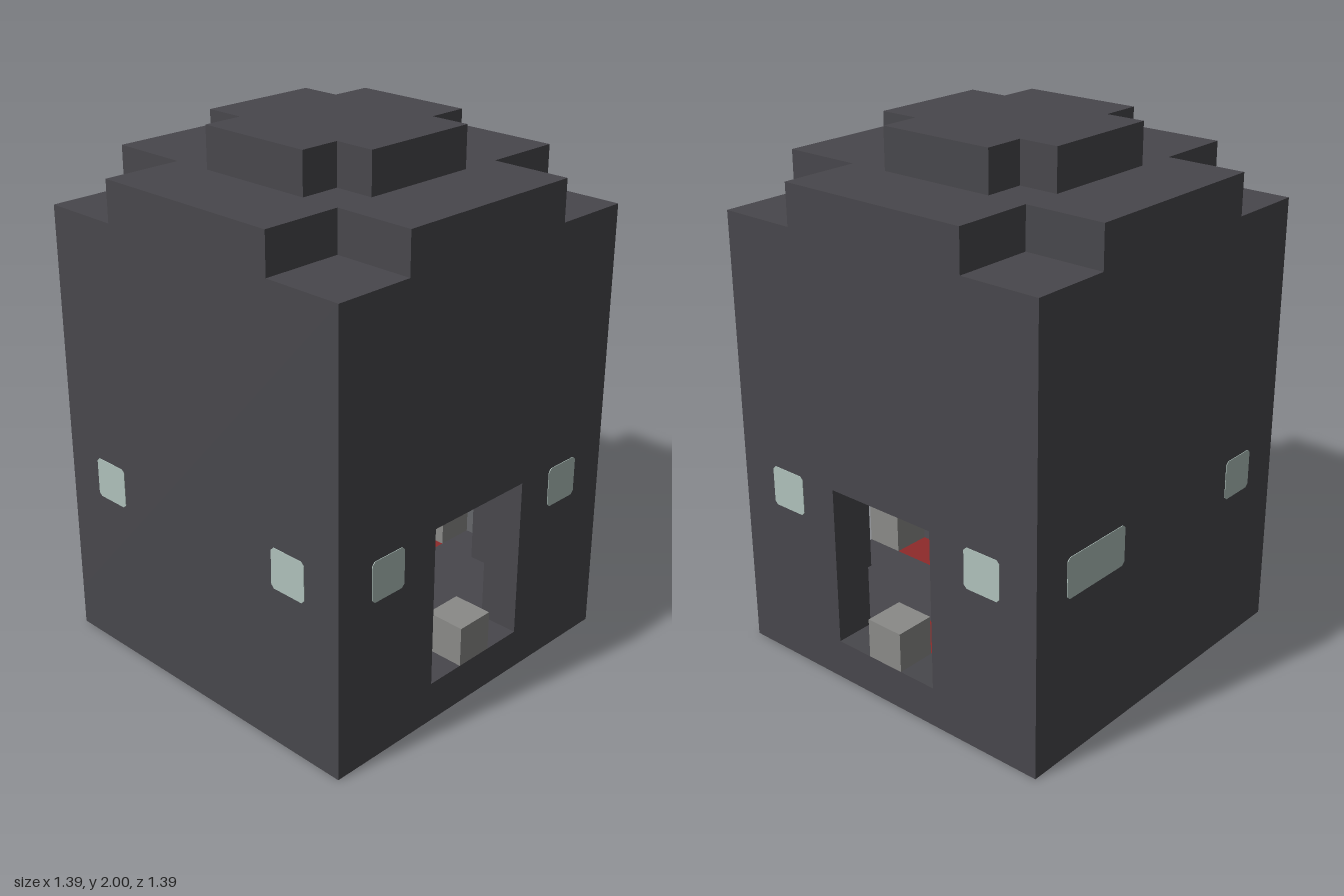
import * as THREE from 'three';

const U = 2 / 13; // one block

export function createModel() {
  const mat = (name, color) => {
    const m = new THREE.MeshStandardMaterial({ color });
    m.name = name;
    return m;
  };
  const stone = mat('dark stone', 0x48474c);
  const glass = mat('pale glass', 0xafc1bb);
  const grey = mat('grey stone', 0x8a8a88);
  const red = mat('red carpet', 0x8e2a2a);

  const model = new THREE.Group();
  model.name = 'tower';

  // All helper sizes are in blocks
  const add = (parent, name, geometry, material) => {
    const mesh = new THREE.Mesh(geometry.scale(U, U, U), material);
    mesh.name = name;
    parent.add(mesh);
    return mesh;
  };
  const box = (name, x, y, z, w, h, d, material) =>
    add(model, name, new THREE.BoxGeometry(w, h, d).translate(x, y + h / 2, z), material);
  const outline = (pts) => pts.map(([x, y]) => new THREE.Vector2(x, y));
  const rect = (x0, y0, x1, y1) => outline([[x0, y0], [x1, y0], [x1, y1], [x0, y1]]);
  const extrude = (pts, depth, hole) => {
    const shape = new THREE.Shape(pts);
    if (hole) shape.holes.push(new THREE.Path(hole));
    return new THREE.ExtrudeGeometry(shape, { depth, bevelEnabled: false });
  };
  const slab = (name, y, pts, material, hole) =>
    add(model, name, extrude(pts, 1, hole).rotateX(-Math.PI / 2).translate(0, y, 0), material);

  // Square with square notches in its corners
  const notched = (r, n) => {
    const i = r - n;
    return outline([[-i, -r], [i, -r], [i, -i], [r, -i], [r, i], [i, i],
      [i, r], [-i, r], [-i, i], [-r, i], [-r, -i], [-i, -i]]);
  };

  // Floor with an L-shaped carpet let into it
  const carpet = outline([[-0.5, -0.5], [3.5, -0.5], [3.5, 0.5], [0.5, 0.5], [0.5, 3.5], [-0.5, 3.5]]);
  slab('floor', 0, rect(-4.5, -4.5, 4.5, 4.5), stone, carpet);
  slab('carpet', 0, carpet, red);

  // Walls, with windows as [left, right] spans and optional doorway and step
  const pair = [[-3.5, -2.5], [2.5, 3.5]];
  const walls = [
    { name: 'front', turn: 0, half: 4.5, windows: pair },
    { name: 'left', turn: 1, half: 3.5, windows: pair, door: true },
    { name: 'back', turn: 2, half: 4.5, windows: pair, door: true },
    { name: 'right', turn: 3, half: 3.5, windows: [[-3.5, -1.5], [2.5, 3.5]] },
  ];
  for (const w of walls) {
    const side = new THREE.Group();
    side.name = w.name + 'Side';
    side.rotation.y = w.turn * Math.PI / 2;
    model.add(side);

    let pts = rect(-w.half, 1, w.half, 11);
    if (w.door) {
      pts = outline([[-w.half, 1], [-1.5, 1], [-1.5, 5], [1.5, 5], [1.5, 1], [w.half, 1], [w.half, 11], [-w.half, 11]]);
      add(side, 'doorStep', new THREE.BoxGeometry(1, 1, 1).translate(0, 1.5, 4), grey);
    }
    add(side, w.name + 'Wall', extrude(pts, 1).translate(0, 0, 3.5), stone);

    // Panes with clipped corners, just proud of both wall faces
    const c = 0.08;
    for (const [a, b] of w.windows) {
      const pane = outline([[a + c, 4], [b - c, 4], [b, 4 + c], [b, 5 - c], [b - c, 5], [a + c, 5], [a, 5 - c], [a, 4 + c]]);
      add(side, 'window', extrude(pane, 1.03).translate(0, 0, 3.485), glass);
    }
  }

  // Stone benches opposite the doorways
  box('rightBench', -3, 1, 0, 1, 1, 3, grey);
  box('frontBench', 0, 1, 3, 3, 1, 1, grey);

  // Stepped roof
  for (const x of [-3, 3]) for (const z of [-3, 3]) box('roofCorner', x, 10, z, 1, 1, 1, stone);
  slab('roof', 11, notched(4.5, 2), stone);
  slab('roofCap', 12, notched(2.5, 1), stone);

  return model;
}
